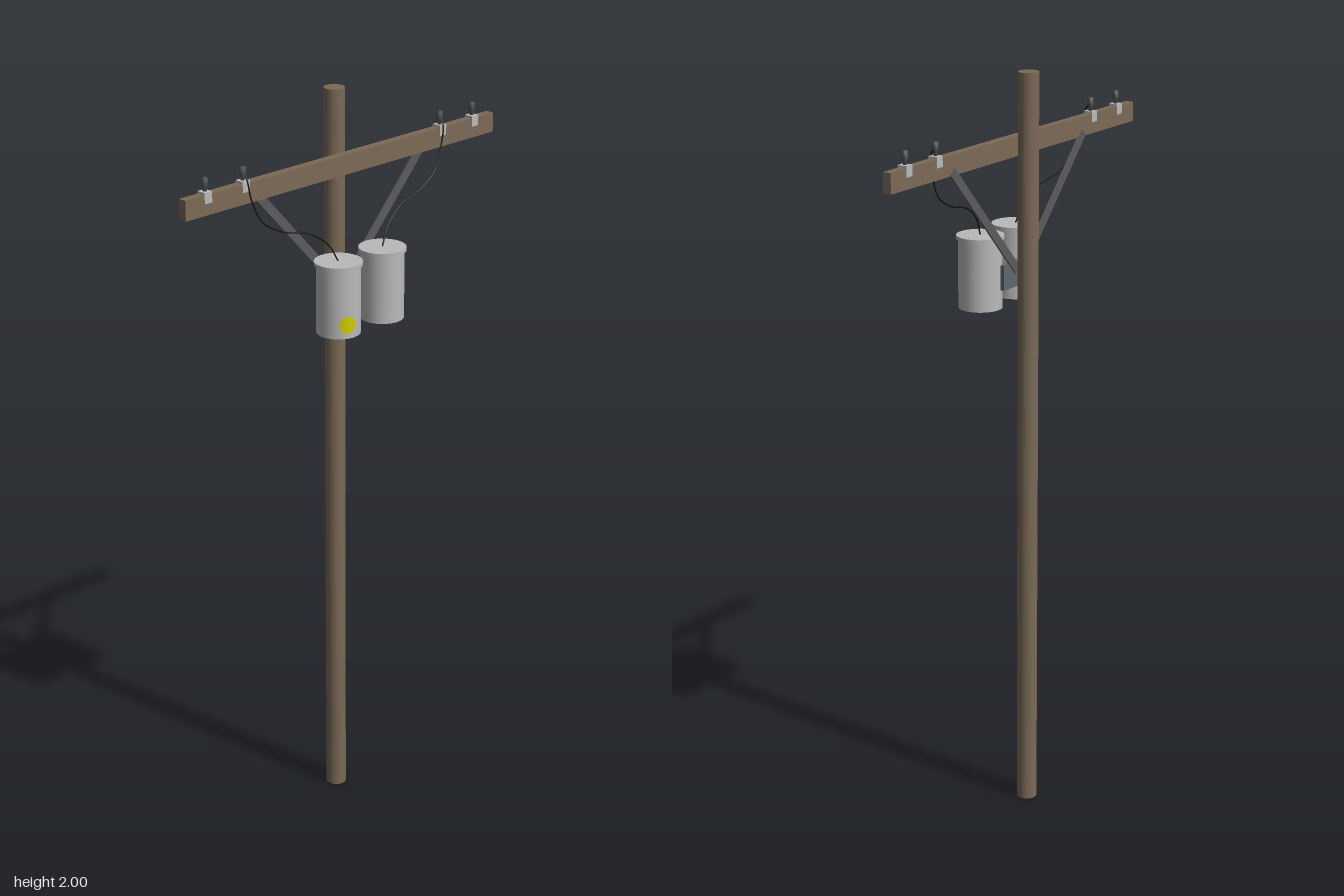
import * as THREE from 'three';

const mat = (name, color, side = THREE.FrontSide) => {
  const m = new THREE.MeshStandardMaterial({ color, side });
  m.name = name;
  return m;
};

export function createModel() {
  const root = new THREE.Group();
  root.name = 'utilityPole';

  const wood = mat('weathered wood', 0x7b6a56);
  const tankGrey = mat('light grey paint', 0xbababa);
  const steel = mat('dark steel', 0x5c5c5e);
  const bracketGrey = mat('blue grey steel', 0x5f6870);
  const pinGrey = mat('dark insulator', 0x4c5052);
  const black = mat('black cable', 0x141414);
  const yellow = mat('yellow label', 0xd0cc00, THREE.DoubleSide);

  const add = (name, geo, material, x = 0, y = 0, z = 0, parent = root) => {
    const m = new THREE.Mesh(geo, material);
    m.name = name;
    m.position.set(x, y, z);
    parent.add(m);
    return m;
  };

  const POLE_X = -0.065, ARM_X = -0.028, TANK_X = 0.029, TANK_Z = 0.079, TANK_R = 0.057;

  // Pole and crossarm
  add('pole', new THREE.CylinderGeometry(0.027, 0.027, 2, 24), wood, POLE_X, 1, 0);
  add('crossarm', new THREE.BoxGeometry(0.023, 0.052, 1.084), wood, ARM_X, 1.81, 0);

  // Mounting bracket joining pole and tanks
  add('mountPlate', new THREE.BoxGeometry(0.014, 0.065, 0.14), bracketGrey, -0.031, 1.477, 0);

  // Turned outline of a pin insulator
  const pinProfile = [[0, 0], [0.005, 0], [0.005, 0.014], [0.008, 0.017], [0.008, 0.036], [0, 0.037]]
    .map(([r, y]) => new THREE.Vector2(r, y));
  const pinGeo = new THREE.LatheGeometry(pinProfile, 8);

  // Tank outline: straight body with an overhanging lid
  const bodyGeo = new THREE.CylinderGeometry(TANK_R, TANK_R, 0.184, 32);
  const lidGeo = new THREE.CylinderGeometry(0.062, 0.062, 0.01, 32);

  for (const s of [1, -1]) {
    const side = s > 0 ? 'front' : 'back';

    // Diagonal brace from pole to crossarm
    const a = new THREE.Vector2(0.012, 1.488), b = new THREE.Vector2(0.295, 1.795);
    const d = b.clone().sub(a);
    const brace = add(side + 'Brace', new THREE.BoxGeometry(0.005, d.length(), 0.024), steel,
      -0.0395, (a.y + b.y) / 2, s * (a.x + b.x) / 2);
    brace.rotation.x = s * Math.atan2(d.x, d.y);

    // Insulators on their saddles
    for (const z of [0.347, 0.47]) {
      const ins = new THREE.Group();
      ins.name = side + 'Insulator';
      ins.position.set(ARM_X, 1.84, s * z);
      root.add(ins);
      add('saddle', new THREE.BoxGeometry(0.026, 0.028, 0.024), tankGrey, 0, -0.012, 0, ins);
      add('pin', pinGeo, pinGrey, 0, 0, 0, ins);
    }

    // Transformer tank
    const tank = new THREE.Group();
    tank.name = side + 'Transformer';
    tank.position.set(TANK_X, 0, s * TANK_Z);
    root.add(tank);
    add('body', bodyGeo, tankGrey, 0, 1.486, 0, tank);
    add('lid', lidGeo, tankGrey, 0, 1.58, 0, tank);

    // Drop cable from inner insulator to lid
    const path = new THREE.CatmullRomCurve3([
      [ARM_X, 1.862, 0.347], [-0.014, 1.845, 0.346], [-0.01, 1.79, 0.335], [-0.004, 1.73, 0.305],
      [0.002, 1.693, 0.243], [0.009, 1.672, 0.165], [0.021, 1.63, 0.105], [TANK_X, 1.583, TANK_Z],
    ].map(([x, y, z]) => new THREE.Vector3(x, y, s * z)));
    add(side + 'Cable', new THREE.TubeGeometry(path, 48, 0.002, 6), black);
  }

  // Round label wrapped onto the front tank, facing +x
  const label = new THREE.RingGeometry(0, 0.023, 16, 4);
  const p = label.attributes.position;
  for (let i = 0; i < p.count; i++) {
    const ang = 0.36 - p.getX(i) / TANK_R, r = TANK_R + 0.001;
    p.setXYZ(i, r * Math.cos(ang), p.getY(i), r * Math.sin(ang));
  }
  label.computeVertexNormals();
  add('label', label, yellow, TANK_X, 1.43, TANK_Z);

  return root;
}
